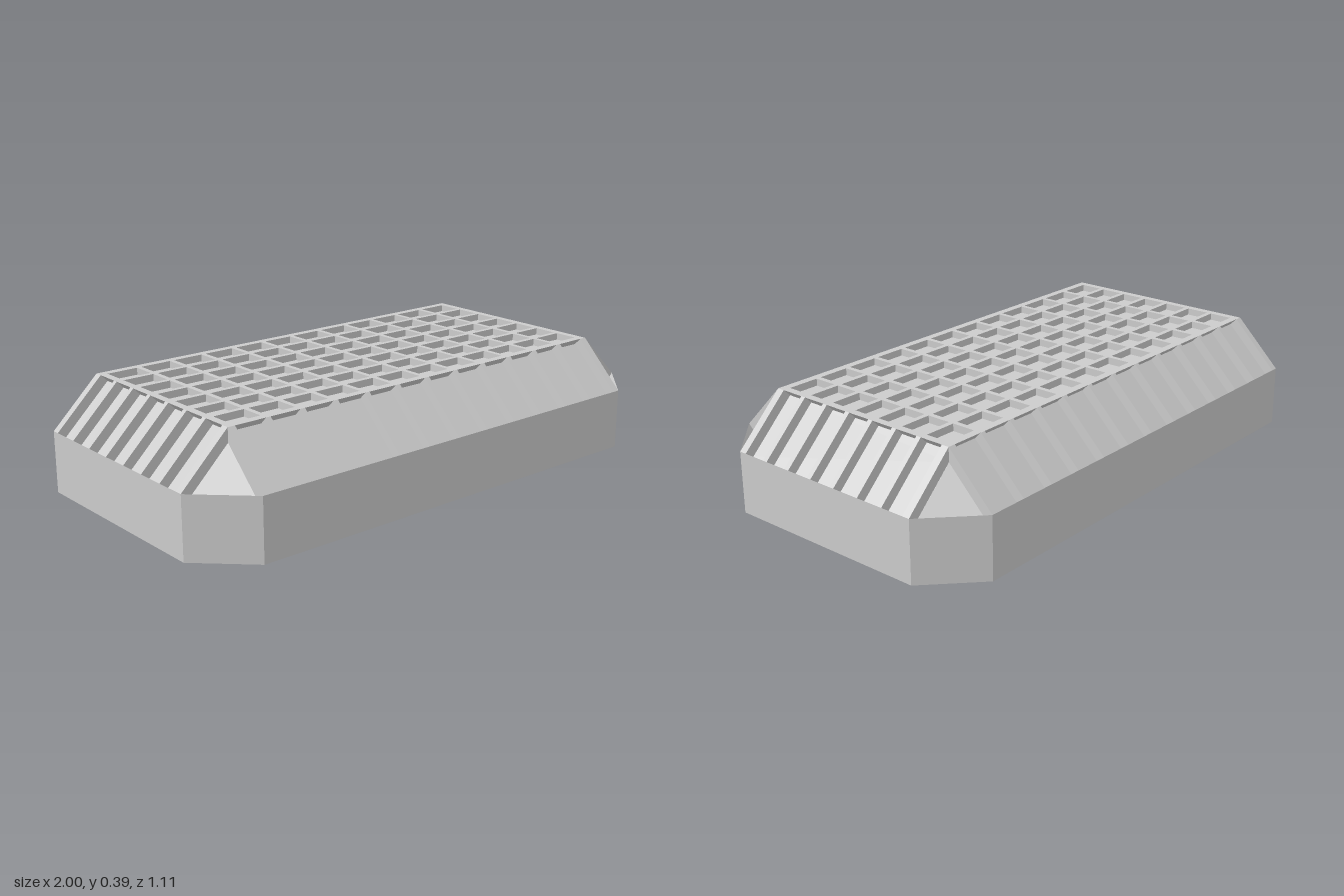
import * as THREE from 'three';
import { mergeGeometries } from 'three/addons/utils/BufferGeometryUtils.js';

const HX = 1, HZ = 0.555;          // outer half sizes of the base
const TX = 0.825, TZ = 0.385;      // half sizes of the flat top
const TOP = 0.39, EAVE = 0.22, RAIL = 0.185, D = 0.025, BAR = 0.018;
const OX = 0.798, OZ = 0.357;      // half extents of the window grid
const COLS = 12, ROWS = 7;

const material = new THREE.MeshStandardMaterial({ color: 0xcccccc, flatShading: true, side: THREE.DoubleSide });

// Octagon with cut corners, counterclockwise from above
function octagon(inset, y) {
  const x = HX - inset, z = HZ - inset;
  return [[TX, z], [x, TZ], [x, -TZ], [TX, -z], [-TX, -z], [-x, -TZ], [-x, TZ], [-TX, z]]
    .map(([px, pz]) => new THREE.Vector3(px, y, pz));
}

// Flat polygons as triangle fans
function polygons(list) {
  const points = [];
  for (const p of list) for (let i = 1; i < p.length - 1; i++) points.push(p[0], p[i], p[i + 1]);
  const geometry = new THREE.BufferGeometry().setFromPoints(points);
  geometry.computeVertexNormals();
  return geometry;
}

// Closed profile of [inset, y] points carried round the octagon
function ring(profile) {
  const loops = profile.map(([inset, y]) => octagon(inset, y));
  const quads = [];
  loops.forEach((lo, j) => {
    const hi = loops[(j + 1) % loops.length];
    for (let i = 0; i < 8; i++) {
      const k = (i + 1) % 8;
      quads.push([lo[i], lo[k], hi[k], hi[i]]);
    }
  });
  return polygons(quads);
}

// Start and end of every opening along one direction
function openings(half, count) {
  const size = (2 * half - (count - 1) * BAR) / count;
  return Array.from({ length: count }, (_, i) => {
    const a = -half + i * (size + BAR);
    return [a, a + size];
  });
}

// Top lattice, its rim bevelled at right angles to the slopes
function topLattice() {
  const rect = (S, a, b, c, d) => new S([[a, c], [b, c], [b, d], [a, d]].map(p => new THREE.Vector2(...p)));
  const shape = rect(THREE.Shape, -TX, TX, -TZ, TZ);
  for (const [a, b] of openings(OX, COLS))
    for (const [c, d] of openings(OZ, ROWS)) shape.holes.push(rect(THREE.Path, a, b, c, d));
  const geometry = new THREE.ExtrudeGeometry(shape, { depth: D, bevelEnabled: false });
  geometry.rotateX(-Math.PI / 2).translate(0, TOP - D, 0);
  const pos = geometry.attributes.position;
  for (let i = 0; i < pos.count; i++) {
    if (pos.getY(i) > TOP - D / 2) continue;
    const x = pos.getX(i), z = pos.getZ(i);
    if (Math.abs(x) > TX - 0.005) pos.setX(i, Math.sign(x) * (TX - D));
    if (Math.abs(z) > TZ - 0.005) pos.setZ(i, Math.sign(z) * (TZ - D));
  }
  geometry.computeVertexNormals();
  return geometry;
}

// Sloping bars on one side, facing +x before turning
function slopeBars(inner, outer, half, count, edge, angle) {
  const shape = new THREE.Shape([[inner, TOP], [inner - D, TOP - D], [outer - D, EAVE - D], [outer, EAVE]]
    .map(p => new THREE.Vector2(...p)));
  const open = openings(half, count);
  const spans = [[-edge, -half], [half, edge]];
  for (let i = 1; i < count; i++) spans.push([open[i - 1][1], open[i][0]]);
  const bars = spans.map(([a, b]) =>
    new THREE.ExtrudeGeometry(shape, { depth: b - a, bevelEnabled: false }).translate(0, 0, a));
  return mergeGeometries(bars).rotateY(angle);
}

// Recessed panes: one flat top, four slopes and four corner triangles
function panes() {
  const v = (x, y, z) => new THREE.Vector3(x, y, z);
  const x0 = TX - D, z0 = TZ - D, x1 = HX - D, z1 = HZ - D;
  const yTop = TOP - D, yLow = EAVE - D, yHip = TOP - 2 * D;
  const list = [[v(-x0, yTop, -z0), v(x0, yTop, -z0), v(x0, yTop, z0), v(-x0, yTop, z0)]];
  for (const s of [1, -1]) {
    list.push([v(-TX, yLow, s * z1), v(TX, yLow, s * z1), v(TX, yHip, s * TZ),
      v(x0, yTop, s * z0), v(-x0, yTop, s * z0), v(-TX, yHip, s * TZ)]);
    list.push([v(s * x1, yLow, -TZ), v(s * x1, yLow, TZ), v(s * TX, yHip, TZ),
      v(s * x0, yTop, z0), v(s * x0, yTop, -z0), v(s * TX, yHip, -TZ)]);
    for (const t of [1, -1])
      list.push([v(s * TX, yHip, t * TZ), v(s * TX, yLow, t * z1), v(s * x1, yLow, t * TZ)]);
  }
  // Turn every pane outward
  for (const p of list) {
    const n = p[1].clone().sub(p[0]).cross(p[2].clone().sub(p[0]));
    if (n.dot(p[0]) < 0) p.reverse();
  }
  return polygons(list);
}

export function createModel() {
  const model = new THREE.Group();
  model.name = 'panelledRoofLight';
  const add = (name, geometry) => {
    const mesh = new THREE.Mesh(geometry, material);
    mesh.name = name;
    model.add(mesh);
  };

  // Hollow base
  add('baseWall', ring([[0, 0], [0, RAIL], [D, RAIL], [D, 0]]));
  add('eaveRail', ring([[0, RAIL], [0, EAVE], [D, EAVE - D], [D, RAIL]]));

  // Roof
  add('panes', panes());
  add('topLattice', topLattice());
  add('leftBars', slopeBars(TX, HX, OZ, ROWS, TZ, 0));
  add('rightBars', slopeBars(TX, HX, OZ, ROWS, TZ, Math.PI));
  add('frontBars', slopeBars(TZ, HZ, OX, COLS, TX, -Math.PI / 2));
  add('backBars', slopeBars(TZ, HZ, OX, COLS, TX, Math.PI / 2));
  return model;
}
